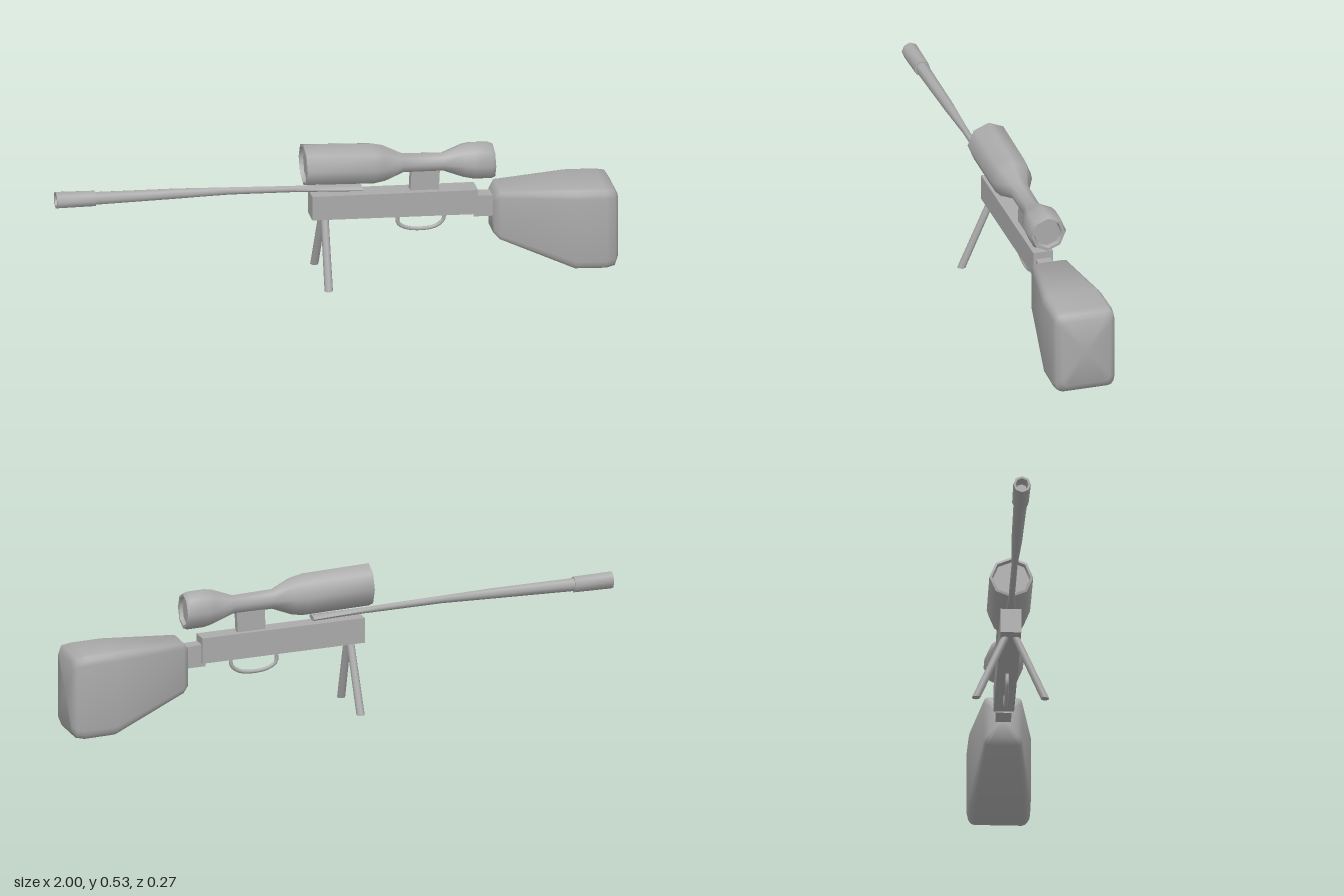
import * as THREE from 'three';
import { toCreasedNormals } from 'three/addons/utils/BufferGeometryUtils.js';

const gunmetal = new THREE.MeshStandardMaterial({ color: 0xaaaaaa });
gunmetal.name = 'plain grey';

// Unit outlines as [y, z] pairs
const polygon = (n, turn = 0) => Array.from({ length: n }, (_, i) => {
  const a = (i / n) * Math.PI * 2 + turn;
  return [Math.cos(a), Math.sin(a)];
});
const octagon = polygon(8);
const square = [[1, -1], [1, 1], [-1, 1], [-1, -1]];
const roundedSquare = [];
for (let q = 0; q < 4; q++) {
  const cy = q === 0 || q === 3 ? 0.78 : -0.78, cz = q < 2 ? 0.78 : -0.78;
  for (let k = 0; k < 4; k++) {
    const a = (q + k / 3) * Math.PI / 2;
    roundedSquare.push([cy + 0.22 * Math.cos(a), cz + 0.22 * Math.sin(a)]);
  }
}

// Skins an outline along x through sections [x, centre y, half height, half width]
function loft(name, outline, sections, crease = 0.9) {
  const n = outline.length, pos = [], index = [];
  for (const [x, y, h, w] of sections) {
    for (const [u, v] of outline) pos.push(x, y + u * h, v * w);
  }
  for (let i = 0; i < sections.length - 1; i++) {
    for (let j = 0; j < n; j++) {
      const a = i * n + j, b = i * n + (j + 1) % n;
      if (sections[i][2] > 0) index.push(a, b, a + n);
      if (sections[i + 1][2] > 0) index.push(b, b + n, a + n);
    }
  }
  const geo = new THREE.BufferGeometry();
  geo.setAttribute('position', new THREE.Float32BufferAttribute(pos, 3));
  geo.setIndex(index);
  return part(name, toCreasedNormals(geo, crease));
}

function part(name, geo) {
  const mesh = new THREE.Mesh(geo, gunmetal);
  mesh.name = name;
  return mesh;
}

export function createModel() {
  const model = new THREE.Group();
  model.name = 'scopedRifle';

  // Barrel, flattening toward the receiver, with a hollow muzzle
  model.add(loft('barrel', octagon, [
    [-0.96, 0.401, 0, 0], [-0.96, 0.401, 0.02, 0.02],
    [-1, 0.403, 0.023, 0.023], [-1, 0.403, 0.031, 0.031],
    [-0.86, 0.397, 0.029, 0.029], [-0.86, 0.397, 0.024, 0.024],
    [-0.56, 0.388, 0.019, 0.019], [-0.38, 0.381, 0.014, 0.011],
    [-0.15, 0.367, 0.012, 0.011], [0.095, 0.352, 0.009, 0.03],
    [0.095, 0.352, 0, 0],
  ]));

  // Receiver and neck
  model.add(loft('receiver', square, [
    [-0.088, 0.301, 0, 0], [-0.088, 0.301, 0.045, 0.036],
    [0.505, 0.272, 0.046, 0.036], [0.505, 0.272, 0, 0],
  ]));
  model.add(loft('neck', square, [
    [0.49, 0.254, 0.04, 0.027], [0.6, 0.247, 0.038, 0.027],
  ]));

  // Shoulder stock
  model.add(loft('stock', roundedSquare, [
    [0.56, 0.22, 0, 0], [0.56, 0.22, 0.07, 0.048],
    [0.58, 0.222, 0.092, 0.068], [0.84, 0.161, 0.152, 0.109],
    [0.95, 0.154, 0.152, 0.111], [0.982, 0.154, 0.146, 0.107],
    [0.996, 0.155, 0.122, 0.088], [0.996, 0.155, 0, 0],
  ], 1.2));

  // Telescopic sight with recessed lenses
  model.add(loft('scope', octagon, [
    [-0.1, 0.456, 0, 0], [-0.1, 0.456, 0.064, 0.064],
    [-0.115, 0.457, 0.068, 0.068], [-0.113, 0.457, 0.077, 0.077],
    [0.13, 0.44, 0.076, 0.076], [0.17, 0.438, 0.068, 0.068],
    [0.24, 0.432, 0.036, 0.036], [0.385, 0.423, 0.034, 0.034],
    [0.46, 0.42, 0.063, 0.063], [0.49, 0.418, 0.069, 0.069],
    [0.55, 0.414, 0.069, 0.069], [0.565, 0.413, 0.062, 0.062],
    [0.565, 0.413, 0.053, 0.053], [0.552, 0.414, 0.048, 0.048],
    [0.552, 0.414, 0, 0],
  ]));

  // Scope mount
  const mount = part('scopeMount', new THREE.BoxGeometry(0.102, 0.1, 0.03));
  mount.position.set(0.32, 0.36, 0);
  mount.rotation.z = -0.05;
  model.add(mount);

  // Trigger guard
  const path = new THREE.CatmullRomCurve3([
    [0.225, 0.24], [0.226, 0.203], [0.255, 0.183], [0.308, 0.174],
    [0.36, 0.18], [0.388, 0.202], [0.39, 0.235],
  ].map(([x, y]) => new THREE.Vector3(x, y, 0)));
  model.add(part('triggerGuard', new THREE.TubeGeometry(path, 24, 0.007, 8)));

  // Bipod legs, sheared so that the feet stay level
  for (const side of [1, -1]) {
    const geo = new THREE.CylinderGeometry(0.014, 0.015, 0.25, 8);
    const shear = new THREE.Matrix4().set(
      1, 0.03, 0, 0,
      0, 1, 0, 0,
      0, -0.43 * side, 1, 0,
      0, 0, 0, 1);
    geo.applyMatrix4(shear);
    const leg = part(side > 0 ? 'frontBipodLeg' : 'backBipodLeg', geo);
    leg.position.set(-0.044, 0.145, 0.067 * side);
    model.add(leg);
  }
  return model;
}
